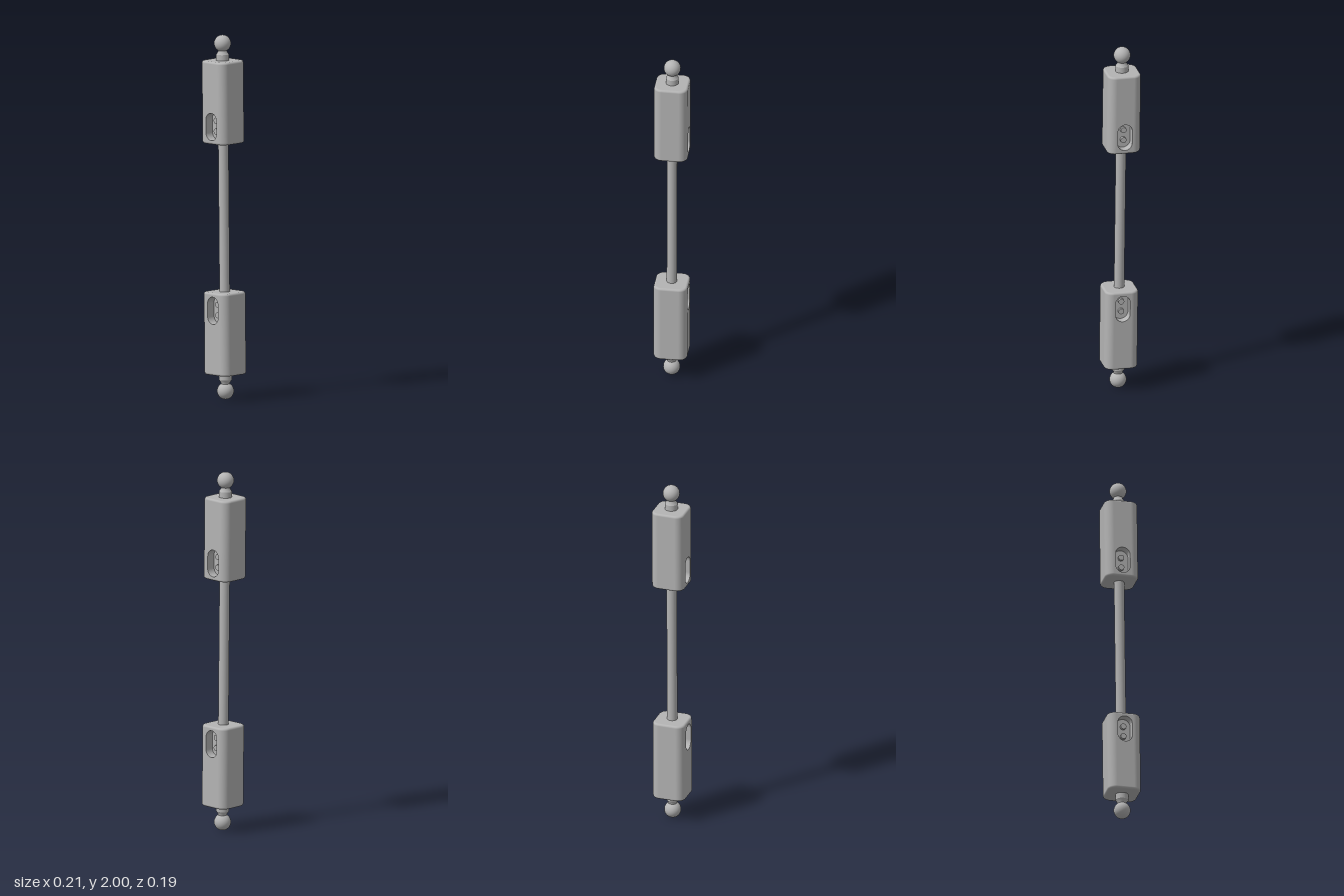
import * as THREE from 'three';

const HALF = 0.0925;   // half width of the square body
const CORNER = 0.045;  // rounding of the upright corners
const BEVEL = 0.012;   // rounding of the end rims
const HEIGHT = 0.453;  // body height
const RECESS = 0.05;   // depth of the slot
const SLOT_Y = -0.13;  // slot centre, from the body centre

const grey = new THREE.MeshStandardMaterial({ color: 0xb4b4b4 });
grey.name = 'grey metal';

function part(name, geometry, parent) {
  const mesh = new THREE.Mesh(geometry, grey);
  mesh.name = name;
  parent.add(mesh);
  return mesh;
}

// Upright pill outline, used for the slot opening and its floor
function pill(path) {
  path.absarc(0, SLOT_Y + 0.035, 0.04, 0, Math.PI, false);
  path.absarc(0, SLOT_Y - 0.035, 0.04, Math.PI, Math.PI * 2, false);
  path.closePath();
  return path;
}

// Rounded square block, left open at the flat front and back faces
function shellGeometry() {
  const k = HALF - CORNER;
  const outline = new THREE.Shape();
  [[k, k], [-k, k], [-k, -k], [k, -k]].forEach(([x, y], i) =>
    outline.absarc(x, y, CORNER, i * Math.PI / 2, (i + 1) * Math.PI / 2, false));
  outline.closePath();
  const depth = HEIGHT - 2 * BEVEL;
  const block = new THREE.ExtrudeGeometry(outline, {
    depth, curveSegments: 8, bevelThickness: BEVEL, bevelSize: BEVEL,
    bevelOffset: -BEVEL, bevelSegments: 4,
  }).translate(0, 0, -depth / 2).rotateX(-Math.PI / 2);
  const source = block.index ? block.toNonIndexed() : block;
  const pos = source.getAttribute('position');
  const points = [], normals = [];
  for (let i = 0; i < pos.count; i += 3) {
    const tri = [0, 1, 2].map((j) => new THREE.Vector3().fromBufferAttribute(pos, i + j));
    if (tri.every((p) => p.z > HALF - 1e-4) || tri.every((p) => p.z < -HALF + 1e-4)) continue;
    for (const p of tri) {
      // Smooth normal of a rounded block at this point
      const s = THREE.MathUtils.clamp((Math.abs(p.y) - depth / 2) / BEVEL, 0, 1);
      const n = new THREE.Vector3(
        p.x - THREE.MathUtils.clamp(p.x, -k, k), 0, p.z - THREE.MathUtils.clamp(p.z, -k, k));
      n.normalize().multiplyScalar(Math.sqrt(1 - s * s));
      n.y = Math.sign(p.y) * s;
      if (n.lengthSq() < 1e-6) n.set(0, 1, 0);
      n.normalize();
      points.push(p.x, p.y, p.z);
      normals.push(n.x, n.y, n.z);
    }
  }
  const shell = new THREE.BufferGeometry();
  shell.setAttribute('position', new THREE.Float32BufferAttribute(points, 3));
  shell.setAttribute('normal', new THREE.Float32BufferAttribute(normals, 3));
  return shell;
}

// Flat face with a recessed slot holding two bolt heads
function slottedFace() {
  const face = new THREE.Group();
  face.name = 'slottedFace';
  const x = HALF - CORNER, y = HEIGHT / 2 - BEVEL;
  const panel = new THREE.Shape(
    [[-x, -y], [x, -y], [x, y], [-x, y]].map(([a, b]) => new THREE.Vector2(a, b)));
  panel.holes.push(pill(new THREE.Path()));
  part('facePanel', new THREE.ExtrudeGeometry(panel, {
    depth: RECESS, bevelEnabled: false, curveSegments: 20,
  }), face).position.z = HALF - RECESS;
  part('slotFloor', new THREE.ShapeGeometry(pill(new THREE.Shape()), 20), face)
    .position.z = HALF - RECESS;
  for (const side of [-1, 1]) {
    const bolt = part('boltHead',
      new THREE.CylinderGeometry(0.016, 0.016, 0.03, 24).rotateX(Math.PI / 2), face);
    bolt.position.set(0, SLOT_Y + side * 0.029, HALF - RECESS);
  }
  return face;
}

// One end of the arm: body, neck and ball
function armEnd(name) {
  const end = new THREE.Group();
  end.name = name;
  const body = new THREE.Group();
  body.name = 'body';
  body.position.y = 0.6345;
  part('bodyShell', shellGeometry(), body);
  const front = slottedFace();
  const back = slottedFace();
  back.rotation.y = Math.PI;
  body.add(front, back);
  end.add(body);
  const neck = [[0.035, 0.85], [0.035, 0.893], [0.035, 0.893], [0.025, 0.908], [0.024, 0.92]];
  part('neck', new THREE.LatheGeometry(neck.map(([r, h]) => new THREE.Vector2(r, h)), 32), end);
  part('ball', new THREE.SphereGeometry(0.046, 40, 28), end).position.y = 0.954;
  return end;
}

export function createModel() {
  const model = new THREE.Group();
  model.name = 'ballJointArm';
  const arm = new THREE.Group();
  arm.name = 'arm';
  arm.position.y = 1;
  arm.rotation.z = 0.0122; // slight lean
  part('rod', new THREE.CylinderGeometry(0.028, 0.028, 0.83, 32, 1, true), arm);
  const lower = armEnd('lowerEnd');
  lower.rotation.z = Math.PI;
  arm.add(armEnd('upperEnd'), lower);
  model.add(arm);
  return model;
}
